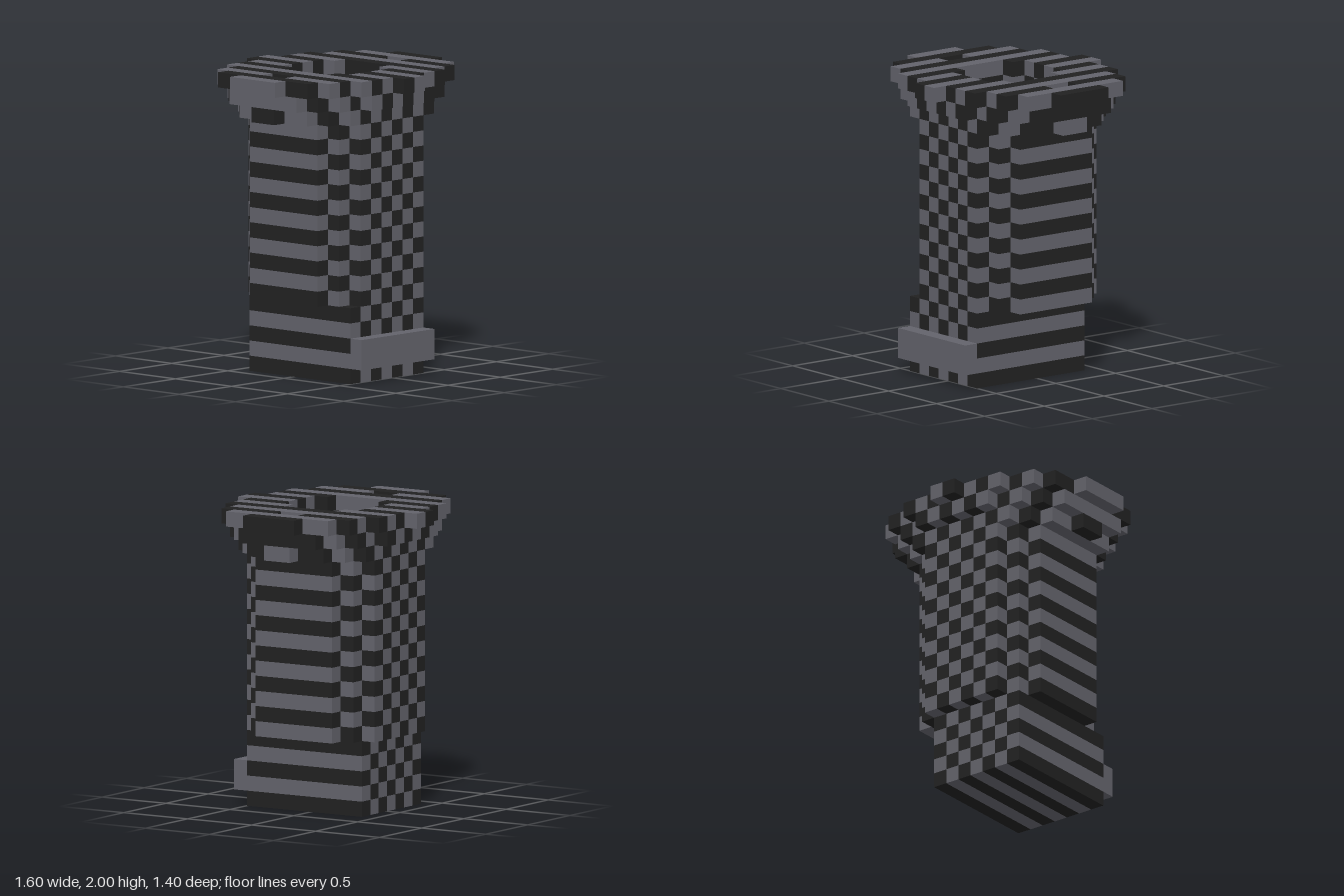
import * as THREE from 'three';
import { mergeGeometries } from 'three/addons/utils/BufferGeometryUtils.js';

const CELL = 0.1;

export function createModel() {
  const model = new THREE.Group();
  model.name = 'tower';

  const gray = new THREE.MeshStandardMaterial({ color: 0x63636b });
  gray.name = 'stone gray';
  const dark = new THREE.MeshStandardMaterial({ color: 0x212121 });
  dark.name = 'charcoal';

  // Box from cell bounds
  const cellBox = (x0, x1, y0, y1, z0, z1) =>
    new THREE.BoxGeometry((x1 - x0) * CELL, (y1 - y0) * CELL, (z1 - z0) * CELL)
      .translate((x0 + x1) / 2 * CELL, (y0 + y1) / 2 * CELL, (z0 + z1) / 2 * CELL);

  // Stacks bars running along z; the two colours alternate in x and y.
  // spans(i, j) lists the [z0, z1] pieces of the bar in column i, layer j.
  function addPart(name, x0, x1, y0, y1, spans) {
    const sets = [[], []];
    for (let j = y0; j < y1; j++)
      for (let i = x0; i < x1; i++)
        for (const [z0, z1] of spans(i, j))
          sets[(i + j) & 1].push(cellBox(i, i + 1, j, j + 1, z0, z1));
    const part = new THREE.Group();
    part.name = name;
    sets.forEach((set, odd) => {
      const mesh = new THREE.Mesh(mergeGeometries(set), odd ? gray : dark);
      mesh.name = name + (odd ? 'GrayBars' : 'DarkBars');
      part.add(mesh);
    });
    model.add(part);
  }

  // Distance of a column from the middle, the same on both sides
  const column = i => (i >= 0 ? i : -i - 1);

  // Half lengths of the bars from the middle column outwards
  const shaftSize = [5, 5, 5, 4, 3];
  const corbelSize = [5, 5, 5, 5, 4, 3, 1];
  const ringSize = [6, 6, 6, 5, 5, 4, 3];
  const rimSize = [7, 6, 6, 6, 5, 5, 4, 2];
  const wellSize = [3, 3, 2];

  // Mirrored bar layout with the open well in the middle
  const hollow = (sizes, floor) => (i, j) => {
    const k = column(i), half = sizes[k];
    const gap = j > floor ? wellSize[k] : 0;
    return gap ? [[-half, -gap], [gap, half]] : [[-half, half]];
  };

  // Solid base, slightly off centre
  addPart('base', -4, 3, 0, 5, () => [[-4, 5]]);

  // Plain step across the front of the base
  const step = new THREE.Mesh(cellBox(-4, 3, 1, 3, 5, 6), gray);
  step.name = 'frontStep';
  model.add(step);

  // Shaft with stepped corners and a closed floor
  addPart('shaft', -5, 5, 5, 17, hollow(shaftSize, 5));

  // Widening crown
  addPart('corbel', -7, 7, 17, 18, hollow(corbelSize, 5));
  addPart('ring', -7, 7, 18, 19, hollow(ringSize, 5));

  // Rim with a small notch on each side
  const rim = hollow(rimSize, 5);
  addPart('rim', -8, 8, 19, 20, (i, j) =>
    column(i) === 5 ? [[-5, -1], [1, 5]] : rim(i, j));

  return model;
}
